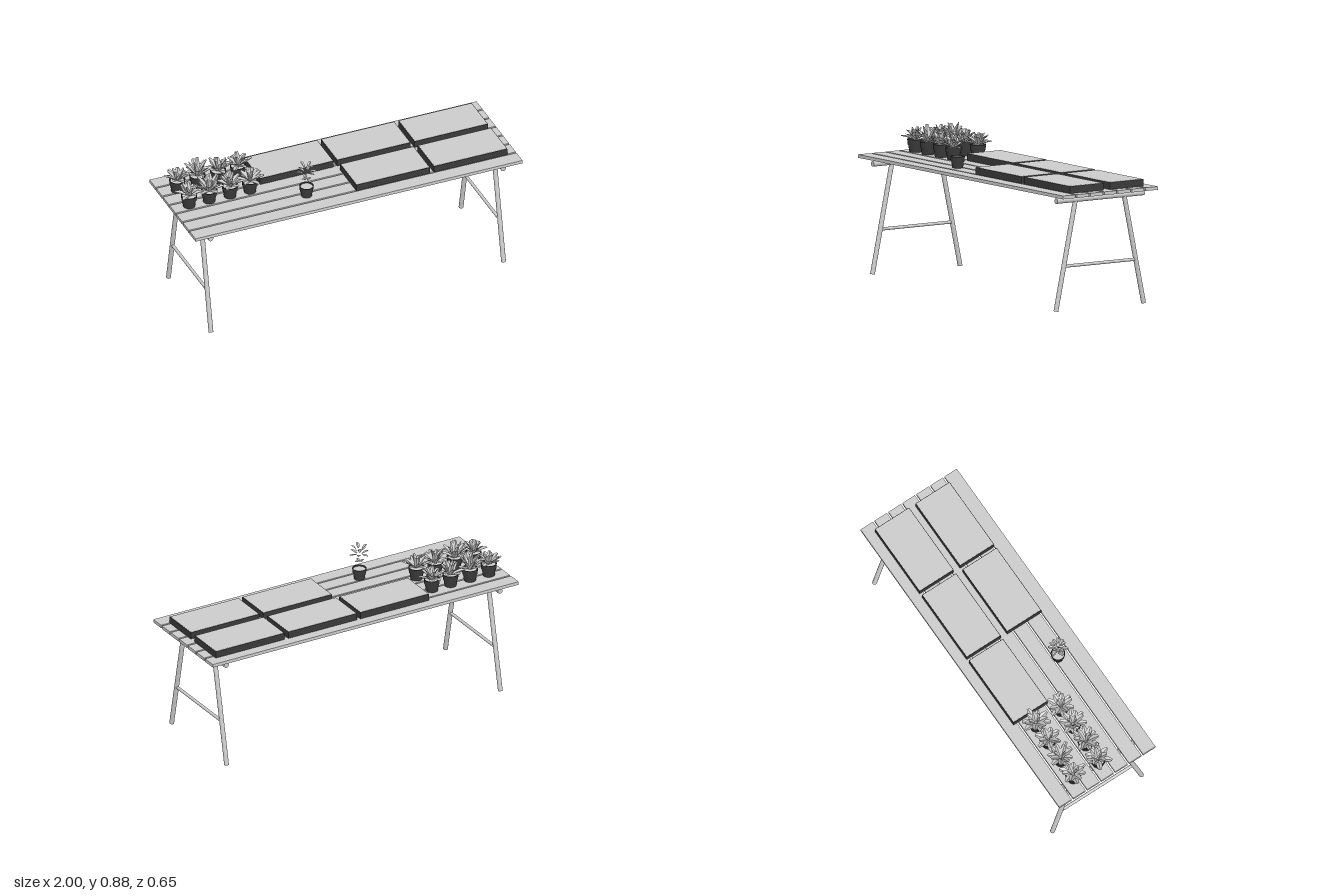
import * as THREE from 'three';

const grey = new THREE.MeshStandardMaterial({ color: 0xcccccc });
const dark = new THREE.MeshStandardMaterial({ color: 0x3a3a3a });
const leafMat = new THREE.MeshStandardMaterial({ color: 0xcccccc, flatShading: true, side: THREE.DoubleSide });

const DECK = 0.673; // height of the table surface

function add(parent, name, geometry, material, x = 0, y = 0, z = 0) {
  const mesh = new THREE.Mesh(geometry, material);
  mesh.name = name;
  mesh.position.set(x, y, z);
  parent.add(mesh);
  return mesh;
}

// Round bar between two points
function bar(parent, name, a, b, radius) {
  const dir = b.clone().sub(a);
  const mesh = add(parent, name, new THREE.CylinderGeometry(radius, radius, dir.length(), 20), grey);
  mesh.position.copy(a).add(b).multiplyScalar(0.5);
  mesh.quaternion.setFromUnitVectors(new THREE.Vector3(0, 1, 0), dir.normalize());
}

function seeded(seed) {
  let s = seed * 7919 + 17;
  return () => (s = (s * 16807) % 2147483647) / 2147483647;
}

// Folded blade growing along +y, curling towards +z
function leafGeometry(length, width, curl) {
  const g = new THREE.PlaneGeometry(1, 1, 2, 3);
  const p = g.attributes.position;
  const widths = [0.35, 0.8, 1, 0.5];
  for (let i = 0; i < p.count; i++) {
    const t = p.getY(i) + 0.5;
    const w = widths[Math.round(t * 3)] * width;
    const side = p.getX(i);
    p.setXYZ(i, side * w, t * length, curl * t * t * length - Math.abs(side) * w * 0.4);
  }
  return g;
}

function leaf(parent, geometry, yaw, tilt, radius, y) {
  const mesh = add(parent, 'leaf', geometry, leafMat, Math.sin(yaw) * radius, y, Math.cos(yaw) * radius);
  mesh.rotation.set(tilt, yaw, 0, 'YXZ');
}

// Tapered pot with a rim, hollow down to the soil
function pot(parent, radius, height) {
  const profile = [
    [0, 0], [0.74, 0], [0.86, 0.56], [0.93, 0.56], [1, 1], [0.9, 1], [0.86, 0.88],
  ].map(([r, h]) => new THREE.Vector2(r * radius, h * height));
  const mat = dark.clone();
  mat.flatShading = true;
  add(parent, 'pot', new THREE.LatheGeometry(profile, 20), mat);
  const soil = add(parent, 'soil', new THREE.CircleGeometry(radius * 0.87, 20), grey, 0, height * 0.89, 0);
  soil.rotation.x = -Math.PI / 2;
}

// Rosette of broad blades in three tiers
function rosettePlant(size, seed) {
  const plant = new THREE.Group();
  plant.name = 'pottedRosette';
  pot(plant, 0.046, 0.074);
  const rnd = seeded(seed);
  const tiers = [ // count, tilt, length, width
    [6, 1.05, 0.083, 0.034],
    [6, 0.68, 0.095 * size, 0.034],
    [5, 0.25, 0.098 * size, 0.030],
  ];
  tiers.forEach(([count, tilt, length, width], k) => {
    for (let i = 0; i < count; i++) {
      const yaw = ((i + k * 0.5 + rnd() * 0.5) / count) * Math.PI * 2;
      const geometry = leafGeometry(length * (0.85 + rnd() * 0.15), width, 0.12);
      leaf(plant, geometry, yaw, tilt + (rnd() - 0.5) * 0.3, 0.007, 0.068);
    }
  });
  return plant;
}

// Seedling with three airy whorls of small leaves
function seedling() {
  const plant = new THREE.Group();
  plant.name = 'pottedSeedling';
  pot(plant, 0.041, 0.066);
  const whorls = [ // count, height, tilt, inner radius, length
    [4, 0.106, 1.05, 0.004, 0.024],
    [6, 0.153, 1.2, 0.016, 0.042],
    [5, 0.182, 0.75, 0.018, 0.036],
  ];
  whorls.forEach(([count, y, tilt, radius, length], k) => {
    for (let i = 0; i < count; i++) {
      const yaw = ((i + k * 0.4) / count) * Math.PI * 2;
      leaf(plant, leafGeometry(length, 0.02, 0.1), yaw, tilt + (i % 2) * 0.22, radius, y);
    }
  });
  return plant;
}

export function createModel() {
  const model = new THREE.Group();
  model.name = 'plantTable';

  // Slatted top
  for (let i = -3; i <= 3; i++) {
    add(model, 'slat', new THREE.BoxGeometry(2, 0.019, 0.084), grey, 0, DECK - 0.0095, i * 0.0945);
  }

  // Trestles
  for (const x of [-0.895, 0.895]) {
    const trestle = new THREE.Group();
    trestle.name = 'trestle';
    model.add(trestle);
    const at = (y, z) => new THREE.Vector3(x, y, z);
    bar(trestle, 'topRail', at(0.629, -0.3), at(0.629, 0.3), 0.0155);
    bar(trestle, 'crossBar', at(0.255, -0.243), at(0.255, 0.243), 0.009);
    for (const s of [-1, 1]) bar(trestle, 'leg', at(0.003, s * 0.301), at(0.622, s * 0.168), 0.0135);
  }

  // Seed trays with a filled top
  const trays = [[-0.225, -0.15], [0.246, -0.15], [0.72, -0.15], [0.246, 0.124], [0.72, 0.124]];
  for (const [x, z] of trays) {
    const tray = new THREE.Group();
    tray.name = 'seedTray';
    tray.position.set(x, DECK, z);
    model.add(tray);
    add(tray, 'trayBox', new THREE.BoxGeometry(0.449, 0.04, 0.231), dark, 0, 0.02, 0);
    add(tray, 'trayFill', new THREE.BoxGeometry(0.443, 0.002, 0.225), grey, 0, 0.04, 0);
  }

  // Two rows of rosettes
  const sizes = [0.8, 1.08, 0.88, 0.84];
  [-0.165, 0.003].forEach((z, row) => {
    [-0.9, -0.777, -0.65, -0.528].forEach((x, i) => {
      const plant = rosettePlant(sizes[i], 1 + i + row * 4);
      plant.position.set(x, DECK, z);
      model.add(plant);
    });
  });

  // Single seedling
  const sprout = seedling();
  sprout.position.set(-0.253, DECK, 0.168);
  model.add(sprout);

  return model;
}
